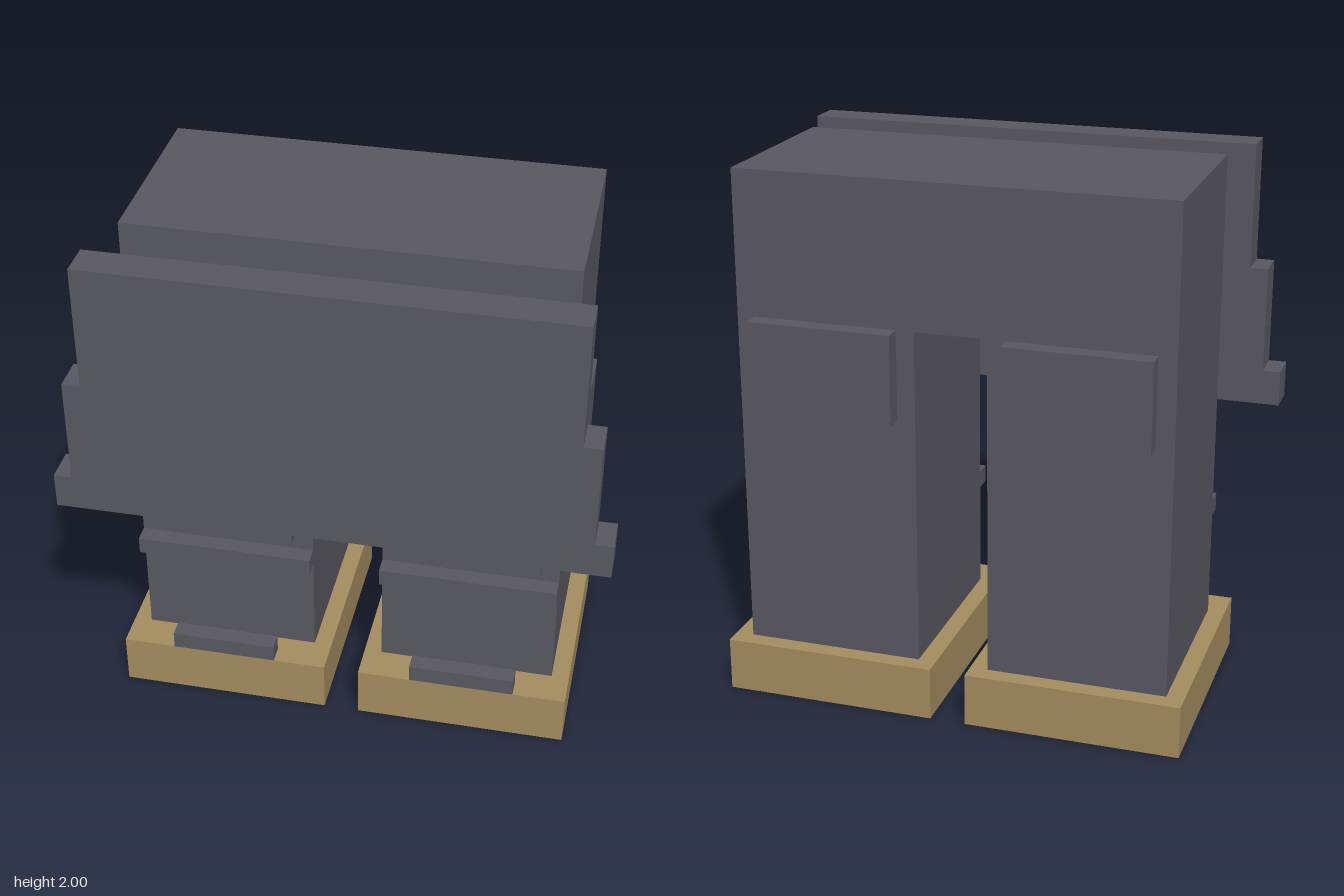
import * as THREE from 'three';

const U = 1 / 15; // modelling grid unit

export function createModel() {
  const model = new THREE.Group();
  model.name = 'armouredLegsWithShield';

  const grey = new THREE.MeshStandardMaterial({ color: 0x5a5962 });
  grey.name = 'slate grey';
  const tan = new THREE.MeshStandardMaterial({ color: 0xa68e60 });
  tan.name = 'tan';

  // Box given by its limits in grid units
  function block(name, material, [x0, x1], [y0, y1], [z0, z1], parent = model) {
    const mesh = new THREE.Mesh(
      new THREE.BoxGeometry((x1 - x0) * U, (y1 - y0) * U, (z1 - z0) * U), material);
    mesh.position.set((x0 + x1) / 2 * U, (y0 + y1) / 2 * U, (z0 + z1) / 2 * U);
    mesh.name = name;
    parent.add(mesh);
    return mesh;
  }

  // Outline in grid units, extruded between two depths
  function slab(name, outline, z0, z1) {
    const shape = new THREE.Shape(outline.map(([x, y]) => new THREE.Vector2(x * U, y * U)));
    const geometry = new THREE.ExtrudeGeometry(shape, { depth: (z1 - z0) * U, bevelEnabled: false });
    geometry.translate(0, 0, z0 * U);
    const mesh = new THREE.Mesh(geometry, grey);
    mesh.name = name;
    model.add(mesh);
  }

  // Mirrors the right half of an outline to close it
  const mirrored = half => [...half, ...half.map(([x, y]) => [-x, y]).reverse()];

  // Torso and both legs in one piece, with the gap between the legs
  slab('body', mirrored([[2, 22], [2, 3], [12, 3], [12, 30]]), -7.5, 3.5);

  // Parts repeated on each leg
  for (const [side, s] of [['left', 1], ['right', -1]]) {
    const leg = new THREE.Group();
    leg.name = side + 'LegParts';
    model.add(leg);
    const span = (a, b) => (s > 0 ? [a, b] : [-b, -a]);
    block('foot', tan, span(1, 13), [0, 3], [-8.5, 5.5], leg);
    block('toeCap', grey, span(4, 10), [3, 4], [4.5, 5.5], leg);
    block('kneeStrap', grey, span(2, 12), [9, 10], [3.5, 4.5], leg);
    block('thighPad', grey, span(3, 11), [11, 17], [3.5, 4.5], leg);
    block('backPad', grey, span(3, 11), [17, 22], [-8.5, -7.5], leg);
  }

  // Bracket that holds the front plate on the left side
  block('bracketArm', grey, [8, 13], [23, 25], [3.5, 6.5]);
  block('bracketDrop', grey, [8, 13], [17, 23], [3.5, 5.5]);

  // Stepped front plate
  slab('frontPlate', mirrored([[15, 15], [15, 17], [14, 17], [14, 23], [13, 23], [13, 30]]), 6.5, 8.5);

  return model;
}
